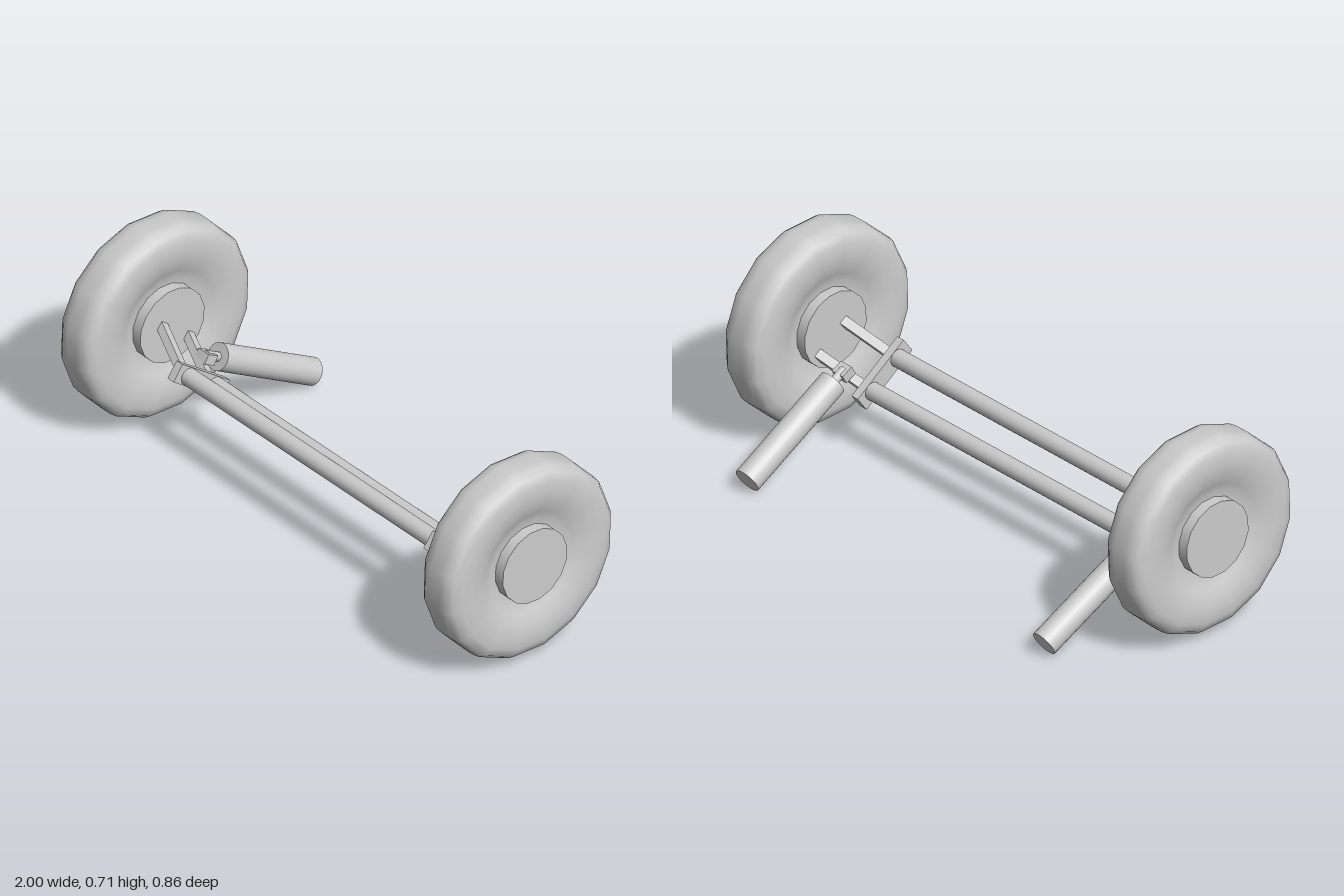
import * as THREE from 'three';

const material = new THREE.MeshStandardMaterial({ color: 0xcccccc });
const TILT = Math.PI / 5; // the axle frame leans back by 36 degrees

function add(parent, geometry, name, x = 0, y = 0, z = 0) {
  const mesh = new THREE.Mesh(geometry, material);
  mesh.name = name;
  mesh.position.set(x, y, z);
  parent.add(mesh);
  return mesh;
}

// Round rod between two points
function rod(parent, name, from, to, radius, sides = 20) {
  const a = new THREE.Vector3(...from), b = new THREE.Vector3(...to);
  const dir = b.clone().sub(a);
  const mesh = add(parent, new THREE.CylinderGeometry(radius, radius, dir.length(), sides), name);
  mesh.position.copy(a).add(b).multiplyScalar(0.5);
  mesh.quaternion.setFromUnitVectors(new THREE.Vector3(0, 1, 0), dir.normalize());
  return mesh;
}

// Wheel: dished tyre around a plain hub, axis along x
function createWheel() {
  const wheel = new THREE.Group();
  wheel.name = 'wheel';
  const half = [[0.125, 0.05], [0.155, 0.052], [0.185, 0.064], [0.22, 0.079],
    [0.265, 0.085], [0.305, 0.083], [0.333, 0.073], [0.348, 0.052], [0.352, 0.025]];
  const profile = [
    ...half.map(([r, h]) => new THREE.Vector2(r, -h)),
    ...half.slice().reverse().map(([r, h]) => new THREE.Vector2(r, h)),
  ];
  const phase = THREE.MathUtils.degToRad(-13.5);
  add(wheel, new THREE.LatheGeometry(profile, 16, phase), 'tyre');
  add(wheel, new THREE.CylinderGeometry(0.135, 0.135, 0.178, 16, 1, false, phase), 'hub');
  wheel.rotation.z = -Math.PI / 2;
  wheel.position.set(0.911, 0.368, 0.08);
  return wheel;
}

// Everything carried at one end of the axle
function createSide() {
  const side = new THREE.Group();
  side.add(createWheel());

  // End plate and the two rising arms
  const frame = new THREE.Group();
  frame.name = 'suspensionFrame';
  frame.position.set(0, 0.268, 0.118);
  frame.rotation.x = -TILT;
  side.add(frame);
  add(frame, new THREE.BoxGeometry(0.03, 0.065, 0.245), 'endPlate', 0.643);
  for (const z of [-0.068, 0.068]) {
    const arm = add(frame, new THREE.BoxGeometry(0.215, 0.028, 0.032), 'suspensionArm', 0.742, 0.046, z);
    arm.rotation.z = Math.atan2(0.093, 0.175);
  }

  // Shock absorber trailing down and back, with its neck and mount
  rod(side, 'shockBody', [0.72, 0.256, -0.025], [0.708, 0.045, -0.407], 0.047, 24);
  rod(side, 'shockNeck', [0.721, 0.284, 0.025], [0.72, 0.25, -0.035], 0.016, 12);
  const mount = add(side, new THREE.BoxGeometry(0.052, 0.035, 0.045), 'shockMount', 0.721, 0.275, 0.023);
  mount.rotation.x = -0.5;
  return side;
}

export function createModel() {
  const model = new THREE.Group();
  model.name = 'axleAssembly';

  const left = createSide();
  left.name = 'leftSide';
  const right = createSide();
  right.name = 'rightSide';
  right.scale.x = -1;
  model.add(left, right);

  // Twin cross tubes
  rod(model, 'frontCrossTube', [-0.64, 0.309, 0.173], [0.64, 0.309, 0.173], 0.031);
  rod(model, 'rearCrossTube', [-0.64, 0.229, 0.063], [0.64, 0.229, 0.063], 0.031);
  return model;
}
